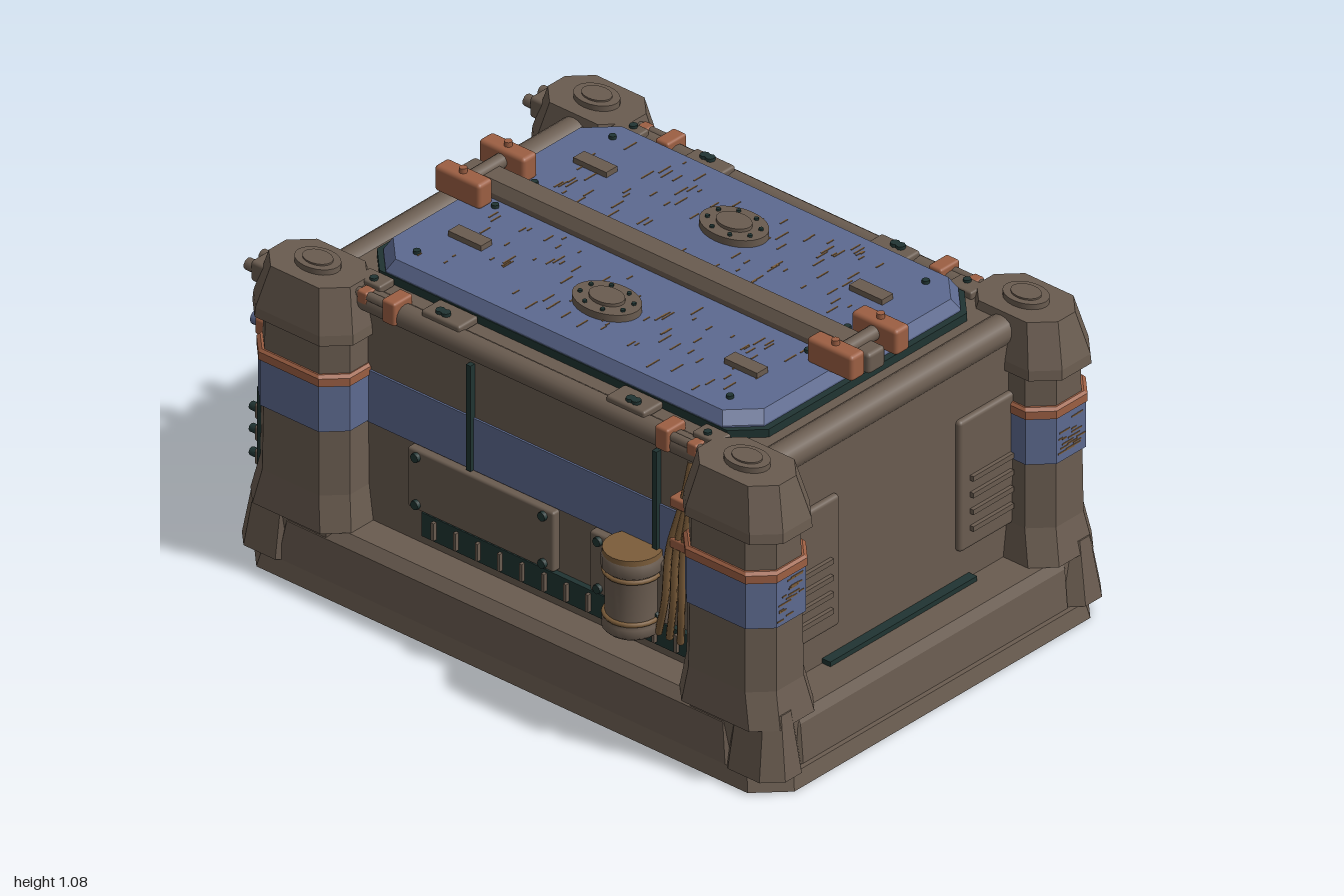
import * as THREE from 'three';
import { mergeGeometries } from 'three/addons/utils/BufferGeometryUtils.js';
import { RoundedBoxGeometry } from 'three/addons/geometries/RoundedBoxGeometry.js';

const material = (name, color) => {
  const m = new THREE.MeshStandardMaterial({ color });
  m.name = name;
  return m;
};

// Stacked chamfered rectangles; section = [y, x0, x1, z0, z1, chamfer or four chamfers]
function loft(sections, sx = 1, sz = 1, dz = 0) {
  const rings = sections.map(([y, xa, xb, za, zb, c]) => {
    const x0 = Math.min(xa * sx, xb * sx), x1 = Math.max(xa * sx, xb * sx);
    const z0 = Math.min(za * sz, zb * sz) + dz, z1 = Math.max(za * sz, zb * sz) + dz;
    const [a, b, d, e] = Array.isArray(c) ? c : [c, c, c, c];
    return [[x1, z0 + e], [x1, z1 - a], [x1 - a, z1], [x0 + b, z1], [x0, z1 - b],
      [x0, z0 + d], [x0 + d, z0], [x1 - e, z0]].map(([x, z]) => [x, y, z]);
  });
  const p = [];
  for (let k = 0; k + 1 < rings.length; k++) for (let i = 0; i < 8; i++) {
    const j = (i + 1) % 8, lo = rings[k], hi = rings[k + 1];
    p.push(...lo[i], ...hi[i], ...lo[j], ...lo[j], ...hi[i], ...hi[j]);
  }
  const bot = rings[0], top = rings[rings.length - 1];
  for (let i = 1; i < 7; i++) p.push(...top[0], ...top[i + 1], ...top[i], ...bot[0], ...bot[i], ...bot[i + 1]);
  const g = new THREE.BufferGeometry();
  g.setAttribute('position', new THREE.Float32BufferAttribute(p, 3));
  g.computeVertexNormals();
  return g;
}

export function createModel() {
  const root = new THREE.Group();
  root.name = 'cargoContainer';
  const hull = material('hullBrown', 0x6a5c50), blue = material('paintBlue', 0x5d6a90);
  const copper = material('copper', 0x9c5f43), dark = material('darkGreen', 0x203432);
  const ochre = material('ochre', 0x7c5d3a);

  const add = (name, geo, mat, x = 0, y = 0, z = 0) => {
    const m = new THREE.Mesh(geo, mat);
    m.name = name;
    m.position.set(x, y, z);
    root.add(m);
    return m;
  };
  // Box given by its limits
  const box = (name, mat, x0, x1, y0, y1, z0, z1, round = 0) => {
    const w = Math.abs(x1 - x0), h = y1 - y0, d = Math.abs(z1 - z0);
    const g = round ? new RoundedBoxGeometry(w, h, d, 2, round) : new THREE.BoxGeometry(w, h, d);
    return add(name, g, mat, (x0 + x1) / 2, (y0 + y1) / 2, (z0 + z1) / 2);
  };
  // Cylinder along a chosen axis
  const rod = (name, mat, r, len, x, y, z, axis = 'y', n = 16) => {
    const g = new THREE.CylinderGeometry(r, r, len, n);
    if (axis === 'x') g.rotateZ(Math.PI / 2);
    if (axis === 'z') g.rotateX(Math.PI / 2);
    return add(name, g, mat, x, y, z);
  };
  let seed = 7;
  const rand = () => (seed = (seed * 16807) % 2147483647) / 2147483647;
  // Thin wear marks on a horizontal (flat) or front-facing panel
  const streaks = (name, n, x0, x1, v0, v1, level, flat) => {
    const list = [];
    for (let i = 0; i < n; i++) {
      const w = 0.012 + rand() * 0.04, t = 0.004;
      const x = x0 + w / 2 + rand() * (x1 - x0 - w), v = v0 + rand() * (v1 - v0);
      const g = new THREE.BoxGeometry(w, flat ? 0.002 : t, flat ? t : 0.002);
      list.push(g.translate(x, flat ? level : v, flat ? v : level));
    }
    add(name, mergeGeometries(list), ochre);
  };

  // Base
  add('baseSlab', loft([[0, -0.695, 0.695, -0.98, 0.98, 0.09], [0.05, -0.685, 0.685, -0.97, 0.97, 0.09]], 1, 1, 0.01), hull);
  add('frontSkirt', loft([[0.05, -0.55, 0.55, 0.78, 0.965, 0.01], [0.17, -0.55, 0.55, 0.78, 0.955, 0.01], [0.2, -0.55, 0.55, 0.78, 0.94, 0.01]]), hull);

  // Front wall, sill and top beams
  box('frontWall', hull, -0.5, 0.5, 0.05, 0.89, 0.77, 0.82);
  box('frontSill', dark, -0.3, 0.3, 0.2, 0.215, 0.82, 0.85);
  rod('frontBeam', hull, 0.045, 0.94, 0, 0.895, 0.785, 'x');
  rod('backBeam', hull, 0.045, 0.94, 0, 0.895, -0.765, 'x');
  box('roof', hull, -0.53, 0.53, 0.86, 0.925, -0.76, 0.78);

  // Floor, ribs and entry sill
  box('floor', hull, -0.5, 0.5, 0.05, 0.085, -0.85, 0.78);
  for (let i = 0; i < 24; i++) box('floorRib', hull, -0.33, 0.33, 0.085, 0.1, -0.81 + i * 0.065, -0.78 + i * 0.065);
  box('entrySill', hull, -0.31, 0.31, 0.05, 0.09, -0.965, -0.82);
  box('entrySillEdge', dark, -0.32, 0.32, 0.055, 0.1, -0.98, -0.965);
  box('entrySillLine', dark, -0.32, 0.32, 0.09, 0.097, -0.895, -0.885);

  // Back doorway header with chevron braces
  box('doorLintel', hull, -0.48, 0.48, 0.64, 0.7, -0.79, -0.72, 0.012);
  box('headerPanel', blue, -0.46, 0.46, 0.7, 0.87, -0.745, -0.725);
  for (const s of [-1, 1]) {
    const b = add('headerBrace', new THREE.BoxGeometry(0.27, 0.04, 0.03), hull, s * 0.12, 0.785, -0.755);
    b.rotation.z = -s * 0.5;
  }

  // Lid gasket and spine
  add('lidGasket', loft([[0.925, -0.485, 0.485, -0.71, 0.71, 0.08], [0.95, -0.485, 0.485, -0.71, 0.71, 0.08]], 1, 1, 0.01), dark);
  add('lidSpine', loft([[0.95, -0.055, 0.055, -0.66, 0.66, 0.005], [1.005, -0.05, 0.05, -0.66, 0.66, 0.005], [1.035, -0.032, 0.032, -0.66, 0.66, 0.005]], 1, 1, 0.01), hull);
  for (const z of [0.685, -0.665]) {
    box('hingeHub', hull, -0.035, 0.035, 0.965, 1.03, z - 0.07, z + 0.07, 0.012);
    rod('hingePin', hull, 0.022, 0.15, 0, 1.03, z, 'x');
    for (const s of [-1, 1]) {
      box('hingeClamp', copper, s * 0.062, s * 0.12, 0.985, 1.065, z - 0.083, z + 0.083, 0.012);
      rod('clampBolt', copper, 0.012, 0.02, s * 0.092, 1.07, z, 'y', 8);
    }
  }

  for (const s of [-1, 1]) {
    // Lid panel with port, handles and bolts
    const c = s > 0 ? [0.08, 0.004, 0.004, 0.08] : [0.004, 0.08, 0.08, 0.004];
    add('lidPanel', loft([[0.945, 0.03, 0.482, -0.69, 0.69, c], [0.955, 0.03, 0.482, -0.69, 0.69, c], [0.99, 0.045, 0.462, -0.672, 0.672, c]], s, 1, 0.01), blue);
    streaks('lidWear', 75, s > 0 ? 0.07 : -0.44, s > 0 ? 0.44 : -0.07, -0.56, 0.57, 0.991, true);
    rod('portFlange', hull, 0.077, 0.022, s * 0.26, 1.001, 0.005, 'y', 28).scale.z = 1.4;
    rod('portCover', hull, 0.04, 0.03, s * 0.26, 1.007, 0.005, 'y', 24).scale.z = 1.4;
    for (let i = 0; i < 8; i++) {
      const a = (i + 0.5) * Math.PI / 4;
      rod('portBolt', dark, 0.007, 0.008, s * 0.26 + Math.cos(a) * 0.059, 1.014, 0.005 + Math.sin(a) * 0.084, 'y', 6);
    }
    for (const z of [-0.495, 0.505]) box('lidHandle', hull, s * 0.233, s * 0.278, 0.99, 1.007, z - 0.06, z + 0.06);
    for (const x of [0.08, 0.4]) for (const z of [-0.56, 0.575]) rod('lidBolt', dark, 0.011, 0.012, s * x, 0.994, z, 'y', 8);

    // Front vent panel
    box('ventPanel', hull, s * 0.245, s * 0.48, 0.305, 0.72, 0.81, 0.838, 0.012);
    for (let i = 0; i < 4; i++) box('ventSlat', hull, s * 0.285, s * 0.45, 0.362 + i * 0.053, 0.378 + i * 0.053, 0.83, 0.85);

    // Side wall, skirt and rail
    box('sideWall', hull, s * 0.5, s * 0.55, 0.05, 0.89, -0.74, 0.8);
    box('sideStripe', blue, s * 0.55, s * 0.556, 0.51, 0.675, -0.66, 0.68);
    add('sideSkirt', loft([[0.05, 0.5, 0.685, -0.82, 0.82, 0.01], [0.17, 0.5, 0.672, -0.8, 0.8, 0.01], [0.2, 0.5, 0.645, -0.8, 0.8, 0.01]], s), hull);
    rod('sideRail', hull, 0.035, 1.3, s * 0.555, 0.9, 0.01, 'z');
    for (const z of [0.45, -0.225]) box('sideSeam', dark, s * 0.55, s * 0.568, 0.51, 0.845, z - 0.008, z + 0.008);
    box('cornerSeam', dark, s * 0.55, s * 0.57, 0.24, 0.87, 0.6, 0.615);

    // Lower access panels and vent strip
    for (const [z0, z1] of [[-0.44, 0.09], [0.22, 0.5]]) {
      box('accessPanel', hull, s * 0.54, s * 0.575, 0.315, 0.505, z0, z1, 0.008);
      for (const z of [z0 + 0.035, z1 - 0.035]) for (const y of [0.335, 0.485]) rod('panelBolt', dark, 0.014, 0.02, s * 0.577, y, z, 'x', 8);
    }
    box('ventStrip', dark, s * 0.54, s * 0.568, 0.235, 0.31, -0.395, 0.6);
    for (let i = 0; i < 12; i++) box('ventRib', hull, s * 0.55, s * 0.58, 0.245, 0.3, -0.35 + i * 0.08, -0.34 + i * 0.08);

    // Canister
    const can = [[0, 0.28], [0.075, 0.28], [0.085, 0.29], [0.085, 0.315], [0.076, 0.325], [0.076, 0.47], [0.087, 0.48], [0.087, 0.515], [0.07, 0.53], [0, 0.53]];
    add('canister', new THREE.LatheGeometry(can.map(([r, y]) => new THREE.Vector2(r, y)), 24), hull, s * 0.595, 0, 0.395);
    rod('canisterLid', ochre, 0.083, 0.02, s * 0.595, 0.525, 0.395, 'y', 24);
    for (const y of [0.33, 0.465]) add('canisterBand', new THREE.TorusGeometry(0.079, 0.007, 6, 24).rotateX(Math.PI / 2), ochre, s * 0.595, y, 0.395);

    // Hoses and their clips
    for (let i = 0; i < 3; i++) {
      const path = new THREE.CatmullRomCurve3([[0.585, 0.88, 0.6], [0.61, 0.76, 0.615 - i * 0.012], [0.62, 0.6, 0.6 - i * 0.025], [0.61, 0.42, 0.585 - i * 0.03], [0.585, 0.29, 0.56 - i * 0.04]]
        .map(([x, y, z]) => new THREE.Vector3(s * x, y, z)));
      add('hose', new THREE.TubeGeometry(path, 24, 0.011, 7), ochre);
    }
    for (const y of [0.63, 0.76]) box('hoseClip', copper, s * 0.575, s * 0.632, y - 0.016, y + 0.016, 0.56, 0.635, 0.006);

    // Roof edge brackets and clamps
    for (const z of [-0.33, 0.34]) {
      box('roofBracket', hull, s * 0.485, s * 0.565, 0.925, 0.95, z - 0.07, z + 0.07, 0.008);
      for (const d of [-0.01, 0.01]) rod('bracketBolt', dark, 0.014, 0.014, s * 0.54, 0.953, z + Math.sign(z) * 0.01 + d, 'y', 8);
    }
    for (const z of [-0.49, 0.5]) {
      const e = Math.sign(z);
      box('railClamp', copper, s * 0.52, s * 0.598, 0.88, 0.953, z - 0.024, z + 0.024, 0.008);
      box('railHook', copper, s * 0.55, s * 0.59, 0.9, 0.94, z + e * 0.085, z + e * 0.12, 0.006);
      rod('clampRod', hull, 0.014, 0.14, s * 0.575, 0.925, z + e * 0.06, 'z', 10);
      box('endBracket', hull, s * 0.49, s * 0.55, 0.925, 0.95, z + e * 0.07, z + e * 0.16, 0.006);
      rod('bracketBolt', dark, 0.012, 0.012, s * 0.53, 0.952, z + e * 0.11, 'y', 8);
    }

    // Corner posts, front and back
    for (const e of [1, -1]) {
      const part = (name, mat, rows) => add(name, loft(rows, s, e, 0.01), mat);
      part('cornerPost', hull, [[0.05, 0.5, 0.67, 0.62, 0.94, 0.04], [0.2, 0.5, 0.67, 0.62, 0.94, 0.04], [0.2, 0.44, 0.7, 0.595, 0.96, 0.06], [0.31, 0.455, 0.688, 0.61, 0.935, 0.06], [0.79, 0.462, 0.682, 0.615, 0.93, 0.06]]);
      part('cornerFoot', hull, [[0.05, 0.53, 0.697, 0.77, 0.985, 0.05], [0.24, 0.555, 0.665, 0.79, 0.955, 0.035]]);
      part('postBand', blue, [[0.515, 0.452, 0.692, 0.607, 0.94, 0.06], [0.66, 0.452, 0.692, 0.607, 0.94, 0.06]]);
      part('postStrap', copper, [[0.66, 0.449, 0.695, 0.604, 0.943, 0.06], [0.685, 0.449, 0.695, 0.604, 0.943, 0.06], [0.693, 0.456, 0.688, 0.611, 0.936, 0.06]]);
      part('postCap', hull, [[0.79, 0.445, 0.695, 0.597, 0.962, 0.065], [0.82, 0.447, 0.693, 0.6, 0.96, 0.065], [0.95, 0.475, 0.665, 0.63, 0.925, 0.06]]);
      const z = e * 0.778 + 0.01;
      rod('capBoss', hull, 0.053, 0.024, s * 0.57, 0.955, z, 'y', 24).scale.z = 1.35;
      rod('capStud', hull, 0.035, 0.032, s * 0.57, 0.956, z, 'y', 24).scale.z = 1.35;
    }
    streaks('bandWear', 18, s > 0 ? 0.515 : -0.63, s > 0 ? 0.63 : -0.515, 0.53, 0.65, 0.951, false);

    // Fittings on the back posts
    box('postLamp', hull, s * 0.515, s * 0.625, 0.84, 0.905, -0.965, -0.9, 0.01);
    for (const x of [0.54, 0.6]) rod('lampBolt', hull, 0.018, 0.05, s * x, 0.872, -0.97, 'z', 10);
    box('latch', copper, s * 0.53, s * 0.61, 0.665, 0.72, -0.965, -0.92, 0.01);
    rod('latchKnob', blue, 0.022, 0.05, s * 0.57, 0.69, -0.97, 'z', 12);
    box('postPlate', dark, s * 0.52, s * 0.62, 0.24, 0.51, -0.945, -0.92);
    for (const y of [0.275, 0.35, 0.42]) {
      box('postBlock', hull, s * 0.53, s * 0.61, y - 0.025, y + 0.025, -0.965, -0.935, 0.008);
      for (const x of [0.55, 0.59]) rod('blockBolt', dark, 0.013, 0.03, s * x, y, -0.975, 'z', 8);
    }

    // Door jamb and bollard
    box('doorJamb', hull, s * 0.4, s * 0.5, 0.05, 0.87, -0.77, -0.71);
    box('bollard', copper, s * 0.345, s * 0.385, 0.085, 0.25, -0.86, -0.81, 0.008);
  }
  return root;
}
